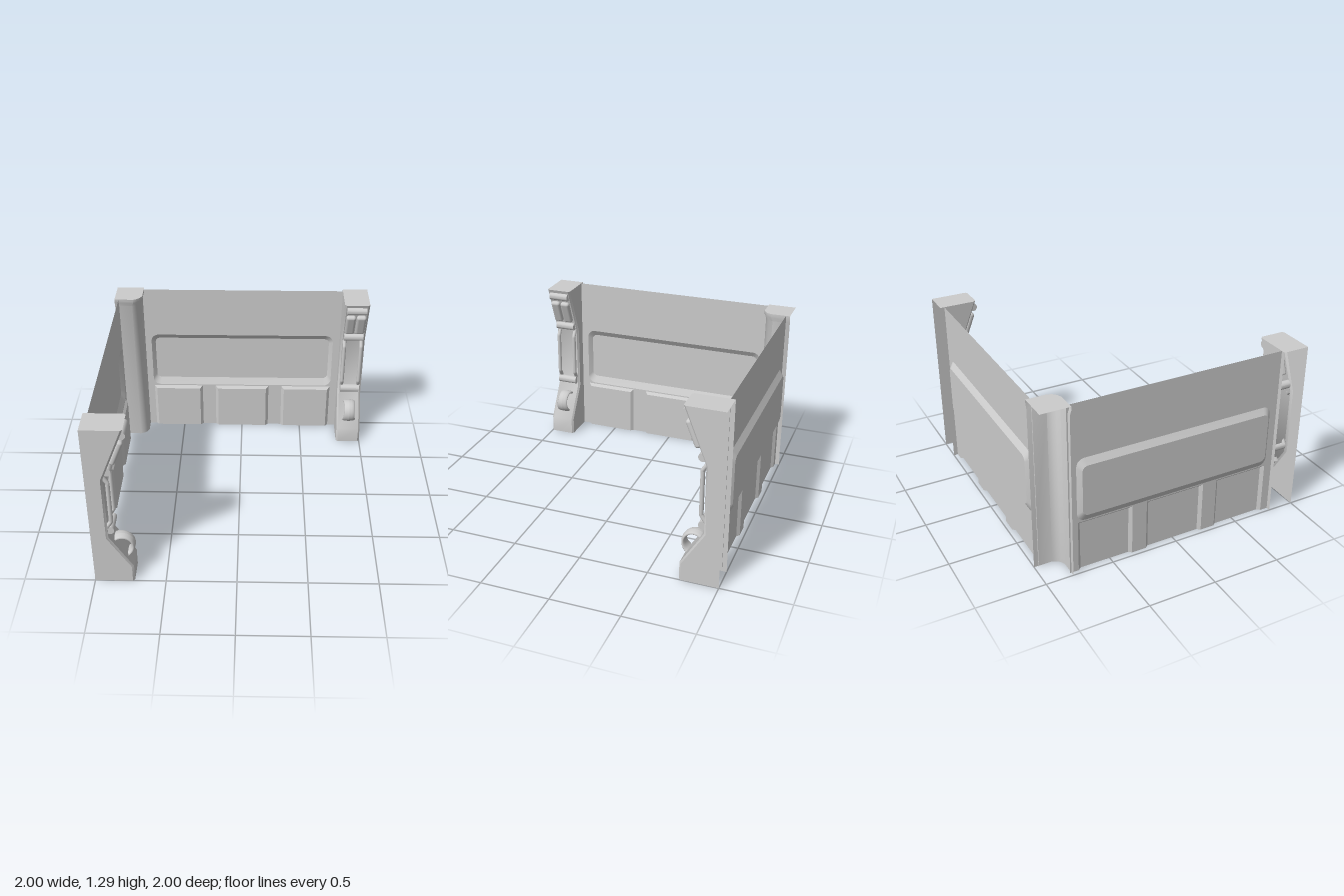
import * as THREE from 'three';
import { toCreasedNormals } from 'three/addons/utils/BufferGeometryUtils.js';
import { RoundedBoxGeometry } from 'three/addons/geometries/RoundedBoxGeometry.js';

const mat = new THREE.MeshStandardMaterial({ color: 0xcccccc, side: THREE.DoubleSide });
const HEIGHT = 1.29;

function add(parent, name, geometry, x = 0, y = 0, z = 0) {
  const mesh = new THREE.Mesh(geometry, mat);
  mesh.name = name;
  mesh.position.set(x, y, z);
  parent.add(mesh);
  return mesh;
}

// Skin between rows of points, each row holding the same number of points
function loft(rows) {
  const n = rows[0].length, index = [];
  for (let r = 0; r < rows.length - 1; r++) {
    for (let i = 0; i < n - 1; i++) {
      const a = r * n + i, b = a + 1, c = a + n, d = c + 1;
      index.push(a, b, d, a, d, c);
    }
  }
  const g = new THREE.BufferGeometry();
  g.setAttribute('position', new THREE.Float32BufferAttribute(rows.flat(2), 3));
  g.setIndex(index);
  return toCreasedNormals(g, 0.6);
}

const flat = (pts, holes = []) => {
  const v = (list) => list.map(([x, y]) => new THREE.Vector2(x, y));
  const shape = new THREE.Shape(v(pts));
  holes.forEach((h) => shape.holes.push(new THREE.Path(v(h))));
  return new THREE.ShapeGeometry(shape);
};

// Horizontal lid from plan points [x, z]
const lid = (plan) => flat(plan.map(([x, z]) => [x, -z])).rotateX(-Math.PI / 2);

// Closed rounded rectangle
function roundRect(x0, y0, x1, y1, r) {
  const pts = [];
  [[x1 - r, y1 - r], [x0 + r, y1 - r], [x0 + r, y0 + r], [x1 - r, y0 + r]].forEach(([cx, cy], q) => {
    for (let i = 0; i <= 5; i++) {
      const a = (q + i / 5) * Math.PI / 2;
      pts.push([cx + r * Math.cos(a), cy + r * Math.sin(a)]);
    }
  });
  return pts;
}

// Sloped border from outer to inner outline, with a flat face on the inner one
function relief(parent, name, outer, inner, depth, closed) {
  const ring = (pts, z) => (closed ? [...pts, pts[0]] : pts).map(([x, y]) => [x, y, z]);
  add(parent, name + 'Border', loft([ring(outer, 0), ring(inner, depth)]));
  add(parent, name + 'Face', flat(inner), 0, 0, depth);
}

// Wall sheet with a long pocket above three raised skirting panels
function makeWall() {
  const wall = new THREE.Group();
  wall.name = 'wall';
  const arch = (x0, x1, top) => [[x0, 0], [x0, top], [x1, top], [x1, 0]];
  const outline = [[-0.81, 0]];
  for (const [x0, x1] of [[-0.745, -0.335], [-0.225, 0.225], [0.335, 0.745]]) {
    outline.push(...arch(x0, x1, 0.39));
    relief(wall, 'skirtingPanel', arch(x0, x1, 0.39), arch(x0 + 0.022, x1 - 0.022, 0.37), 0.02, false);
  }
  outline.push([0.81, 0], [0.81, HEIGHT], [-0.81, HEIGHT]);
  const rim = roundRect(-0.75, 0.4, 0.75, 0.88, 0.06);
  add(wall, 'wallSheet', flat(outline, [rim]));
  relief(wall, 'pocket', rim, roundRect(-0.72, 0.455, 0.72, 0.835, 0.04), -0.03, true);
  return wall;
}

// Hollow end pillar, open at the back and underneath, facing +z
function makePillar() {
  const pillar = new THREE.Group();
  pillar.name = 'endPillar';
  const w = 0.098, b = 0.014;
  const plan = (d) => [[-w, 0], [-w, d - b], [-w + b, d], [w - b, d], [w, d - b], [w, 0]];
  const profile = [[0.28, 0], [0.28, 0.13], [0.12, 0.39], [0.12, 0.89], [0.28, HEIGHT]];
  add(pillar, 'pillarShell', loft(profile.map(([d, y]) => plan(d).map(([x, z]) => [x, y, z]))));
  add(pillar, 'pillarTop', lid(plan(0.28)), 0, HEIGHT, 0);

  // Cross rollers
  for (const [z, y] of [[0.262, 1.235], [0.148, 0.942], [0.133, 0.445]]) {
    const roller = new THREE.CylinderGeometry(0.031, 0.031, 0.155, 20).rotateZ(Math.PI / 2);
    add(pillar, 'roller', toCreasedNormals(roller, 0.6), 0, y, z);
  }
  for (const s of [-1, 1]) {
    // Twin pads on the upper slope
    const pad = add(pillar, 'slopePad', new RoundedBoxGeometry(0.076, 0.2, 0.044, 4, 0.02), s * 0.041, 1.09, 0.218);
    pad.rotation.x = Math.atan2(0.16, 0.4);
    // Bent rails on the upright face
    const path = new THREE.CurvePath();
    const pts = [[0.47, 0.115], [0.52, 0.147], [0.85, 0.147], [0.9, 0.115]]
      .map(([y, z]) => new THREE.Vector3(s * 0.068, y, z));
    for (let i = 0; i < 3; i++) path.add(new THREE.LineCurve3(pts[i], pts[i + 1]));
    add(pillar, 'rail', new THREE.TubeGeometry(path, 40, 0.015, 10));
  }

  // Curved handle on the lower slope, narrow in its middle
  const arc = Math.PI * 1.1, start = -0.95;
  const handle = new THREE.TorusGeometry(0.078, 0.014, 12, 32, arc);
  const p = handle.attributes.position;
  for (let i = 0; i < p.count; i++) {
    const a = Math.atan2(p.getY(i), p.getX(i));
    const t = (a < -1 ? a + 2 * Math.PI : a) / arc * 2 - 1;
    p.setZ(i, p.getZ(i) * (3 + 1.1 * t * t));
  }
  handle.rotateZ(start).rotateY(-Math.PI / 2);
  handle.computeVertexNormals();
  add(pillar, 'handle', handle, 0, 0.265, 0.199);
  return pillar;
}

// Hollow corner column, open on its two outer sides, with a flared head
function makeColumn() {
  const column = new THREE.Group();
  column.name = 'cornerColumn';
  const plan = (inset) => {
    const e = 0.212 - inset, c = e - 0.065;
    const pts = [[e, 0], [e, c]];
    for (const a of [0.35, 0.65]) {
      pts.push([c + 0.065 * (1 - a) + 0.008, c + 0.065 * a + 0.008]);
    }
    return [...pts, [c, e], [0, e]];
  };
  const rows = [[0.012, 0], [0.012, 1.23], [0, 1.265], [0, HEIGHT]];
  add(column, 'columnShell', loft(rows.map(([inset, y]) => plan(inset).map(([x, z]) => [x, y, z]))));
  add(column, 'columnTop', lid([[0, 0], ...plan(0)]), 0, HEIGHT, 0);
  return column;
}

export function createModel() {
  const model = new THREE.Group();
  model.name = 'cornerWall';

  const column = makeColumn();
  column.position.set(-1, 0, -1);
  model.add(column);

  // Back side, then the left-hand side turned a quarter
  for (const [name, end, turn] of [['backSide', 1, 0], ['adjoiningSide', -1, Math.PI / 2]]) {
    const side = new THREE.Group();
    side.name = name;
    const wall = makeWall();
    wall.position.z = -0.968;
    const pillar = makePillar();
    pillar.position.set(end * 0.902, 0, -1);
    side.add(wall, pillar);
    side.rotation.y = turn;
    model.add(side);
  }
  return model;
}
